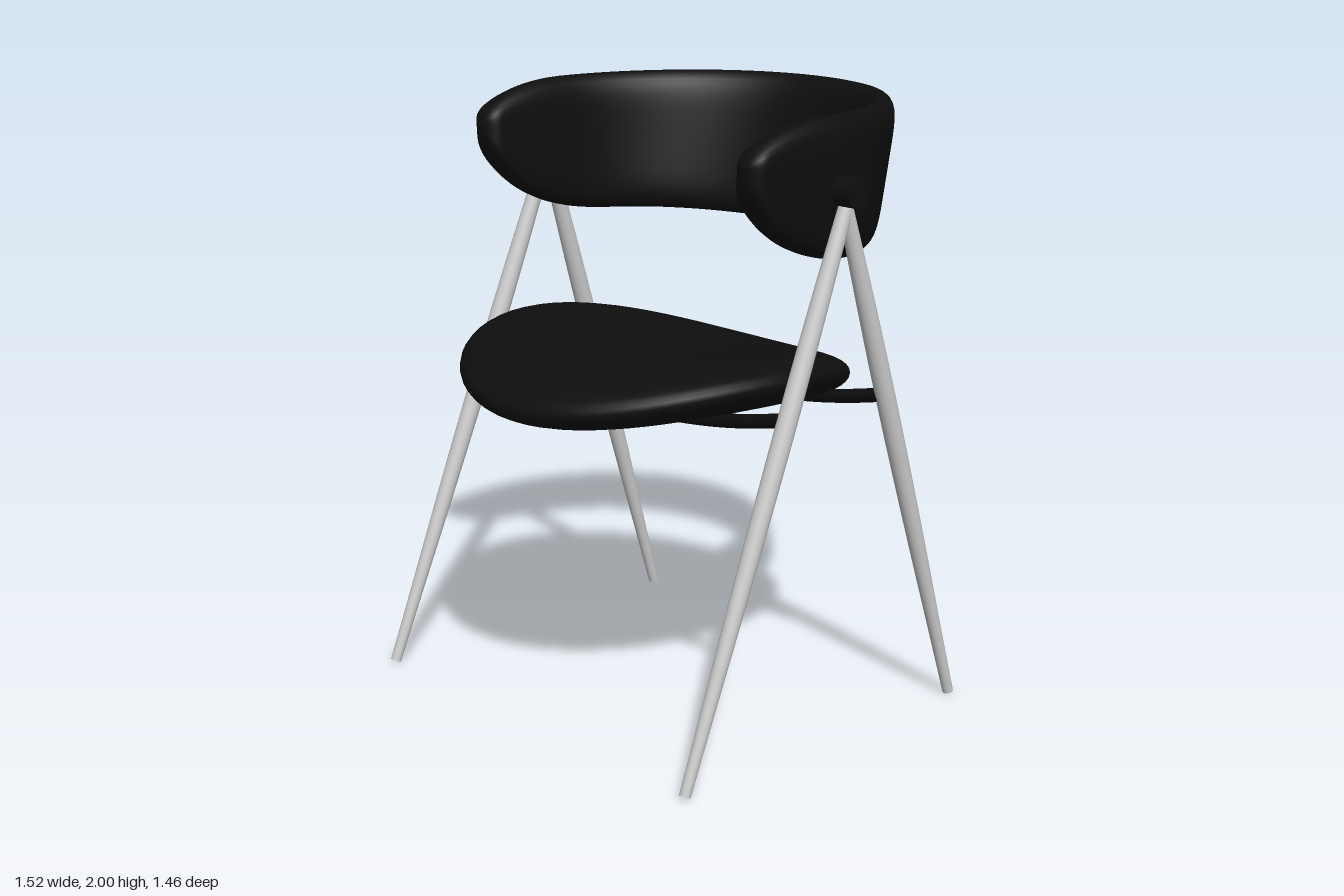
import * as THREE from 'three';
import { mergeVertices } from 'three/addons/utils/BufferGeometryUtils.js';

const metal = new THREE.MeshStandardMaterial({ color: 0xcccccc });
const black = new THREE.MeshStandardMaterial({ color: 0x0e0e0e });
const { lerp } = THREE.MathUtils;
const root = (x) => Math.sqrt(Math.max(0, x));

// Smooth closed surface from a grid of points fn(u, v), u and v in 0..1
function surface(nu, nv, fn) {
  const pos = [], index = [];
  for (let i = 0; i <= nu; i++)
    for (let j = 0; j <= nv; j++) pos.push(...fn(i / nu, j / nv));
  for (let i = 0; i < nu; i++)
    for (let j = 0; j < nv; j++) {
      const a = i * (nv + 1) + j, b = a + nv + 1;
      index.push(a, b, a + 1, b, b + 1, a + 1);
    }
  let geo = new THREE.BufferGeometry();
  geo.setAttribute('position', new THREE.Float32BufferAttribute(pos, 3));
  geo.setIndex(index);
  geo = mergeVertices(geo, 1e-5);
  geo.computeVertexNormals();
  return geo;
}

// Round saddle-shaped cushion: raised at the sides, drooping at the back
function seatPoint(u, v) {
  const a = u * Math.PI * 2, phi = v * Math.PI;
  const r = Math.sin(phi), sx = r * Math.cos(a), sz = r * Math.sin(a);
  const middle = 1.1 + 0.03 * sz - 0.04 * sz * sz + 0.085 * sx * sx;
  const half = 0.085 * root(1 - r ** 6) * Math.sign(Math.cos(phi));
  return [0.64 * sx, middle + half, 0.0925 + 0.6425 * sz];
}

// Wrap-around backrest: a leaning U whose arms taper to rounded tips
function backrestPoint(u, v) {
  const s = Math.sin((u - 0.5) * Math.PI), side = Math.sign(s), t = Math.abs(s);
  const bend = 0.78, tip = 0.31;
  const alpha = Math.min(t / bend, 1) * Math.PI / 2;
  const straight = Math.max(0, (t - bend) / (1 - bend)) * tip;
  const z0 = straight - 0.65 * Math.cos(alpha);

  // Upper and lower edge heights at this station
  const ft = Math.max(0, (z0 + 0.05) / 0.36), fb = Math.max(0, (z0 + 0.25) / 0.56);
  const top = 2 - 0.13 * (1 - root(1 - ft ** 2));
  const bottom = 1.535 - 0.025 * Math.cos(alpha) ** 2 + 0.335 * (1 - root(1 - fb ** 2.2));

  // Padded cross-section
  const psi = v * Math.PI * 2, h = Math.cos(psi);
  const y = (top + bottom) / 2 + h * (top - bottom) / 2;
  const round = root(1 - Math.max(0, (z0 - 0.26) / 0.05) ** 2);
  const pad = lerp(0.046, 0.057, Math.sin(alpha)) * round;
  const w = pad * root(1 - h ** 6) * Math.sign(Math.sin(psi));

  // Leaning plan curve and its normal
  const k = (y - 1.51) / 0.49;
  const ax = lerp(0.605, 0.635, k), bz = lerp(0.58, 0.695, k);
  const n = new THREE.Vector2(Math.sin(alpha) / ax, -Math.cos(alpha) / bz).normalize();
  return [
    side * (ax * Math.sin(alpha) + w * n.x),
    y,
    straight - bz * Math.cos(alpha) + w * n.y,
  ];
}

// Tapered round leg between two points, thickest above the middle
function leg(foot, head) {
  const length = foot.distanceTo(head);
  const radii = [[0, 0.018], [0.15, 0.022], [0.35, 0.028], [0.6, 0.032], [0.8, 0.03], [1, 0.024]];
  const curve = new THREE.SplineCurve(radii.map(([t, r]) => new THREE.Vector2(r, t * length)));
  const profile = [new THREE.Vector2(0, 0), new THREE.Vector2(0.0179, 0),
    ...curve.getPoints(16), new THREE.Vector2(0.0239, length), new THREE.Vector2(0, length)];
  const mesh = new THREE.Mesh(new THREE.LatheGeometry(profile, 24), metal);
  mesh.position.copy(foot);
  mesh.quaternion.setFromUnitVectors(new THREE.Vector3(0, 1, 0), head.clone().sub(foot).normalize());
  return mesh;
}

export function createModel() {
  const model = new THREE.Group();
  const add = (name, mesh) => {
    mesh.name = name;
    model.add(mesh);
    return mesh;
  };

  add('seat', new THREE.Mesh(surface(64, 32, seatPoint), black));
  add('backrest', new THREE.Mesh(surface(96, 40, backrestPoint), black));

  // Inverted V of legs on each side, pinned to the backrest
  for (const [label, side] of [['left', 1], ['right', -1]]) {
    const head = new THREE.Vector3(side * 0.712, 1.725, -0.045);
    add(label + 'FrontLeg', leg(new THREE.Vector3(side * 0.742, 0.008, 0.648), head));
    add(label + 'BackLeg', leg(new THREE.Vector3(side * 0.742, 0.006, -0.568), head));
    const pin = add(label + 'BackrestPin',
      new THREE.Mesh(new THREE.CylinderGeometry(0.049, 0.049, 0.11, 32), black));
    pin.rotation.z = Math.PI / 2;
    pin.position.set(side * 0.692, 1.772, -0.07);
  }

  // Sagging bars that carry the seat between the legs
  for (const [name, z] of [['frontSeatBar', 0.21], ['backSeatBar', -0.225]]) {
    const path = new THREE.QuadraticBezierCurve3(
      new THREE.Vector3(-0.71, 1.103, z), new THREE.Vector3(0, 0.92, z), new THREE.Vector3(0.71, 1.103, z));
    add(name, new THREE.Mesh(new THREE.TubeGeometry(path, 40, 0.023, 16), black));
  }

  return model;
}
